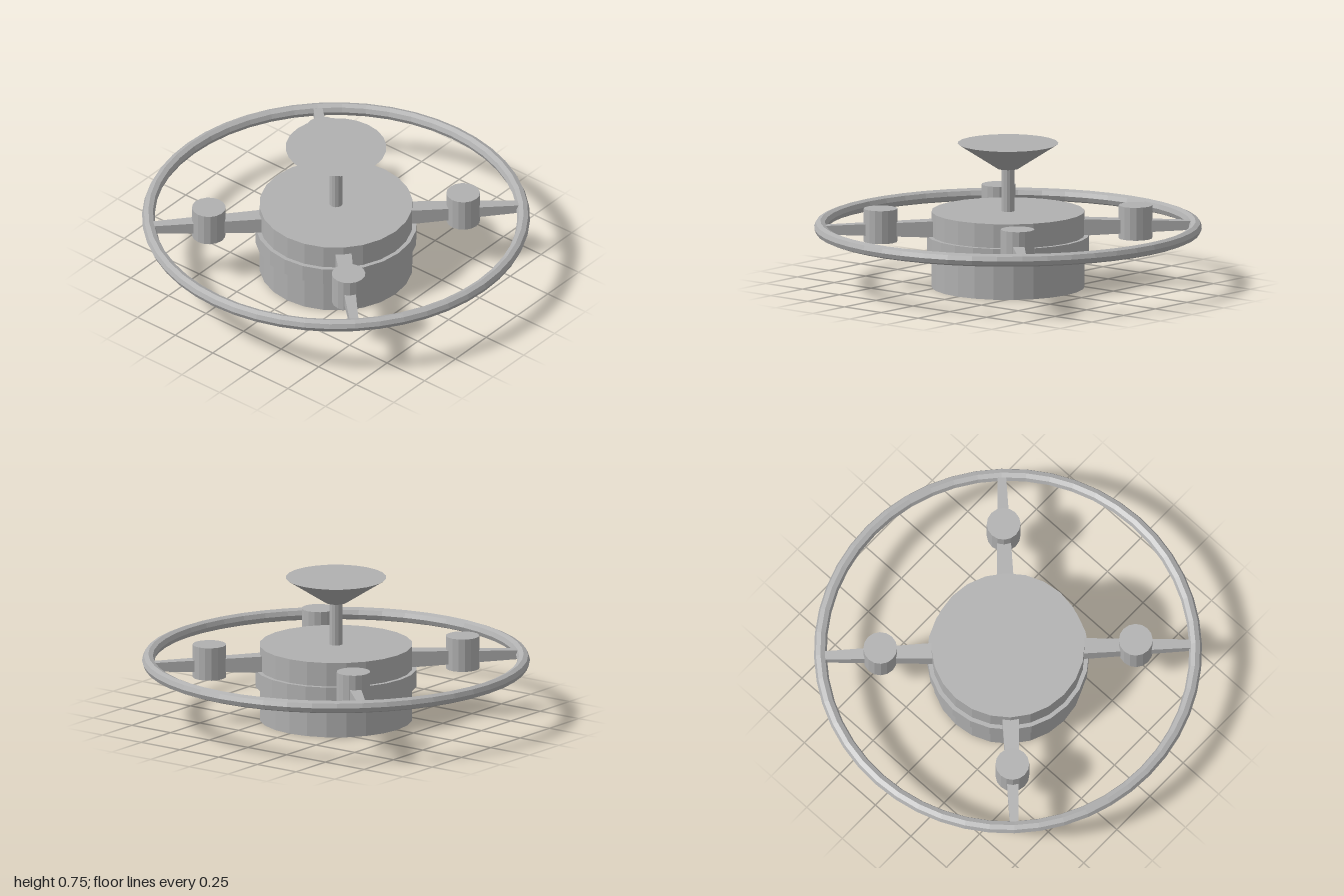
import * as THREE from 'three';

export function createModel() {
  const model = new THREE.Group();
  const grey = new THREE.MeshStandardMaterial({ color: 0xb0b0b0 });
  grey.name = 'grey';
  grey.flatShading = true;

  const add = (name, geometry, parent = model) => {
    const mesh = new THREE.Mesh(geometry, grey);
    mesh.name = name;
    parent.add(mesh);
    return mesh;
  };
  // Upright cylinder or cone between two heights
  const drum = (name, rTop, rBottom, y0, y1, sides, parent) => {
    const mesh = add(name, new THREE.CylinderGeometry(rTop, rBottom, y1 - y0, sides), parent);
    mesh.position.y = (y0 + y1) / 2;
    return mesh;
  };

  // Central hub with its raised band
  drum('hub', 0.395, 0.395, 0, 0.395, 24);
  drum('hubBand', 0.417, 0.417, 0.18, 0.27, 24);

  // Antenna mast and closed dish
  drum('mast', 0.034, 0.034, 0.395, 0.62, 12);
  drum('dish', 0.26, 0.054, 0.617, 0.75, 24);

  // Outer ring
  const ring = add('outerRing', new THREE.TorusGeometry(0.966, 0.033, 8, 48));
  ring.rotation.x = Math.PI / 2;
  ring.position.y = 0.31;

  // Four diagonal spokes: a tapered square arm carrying a pod
  for (let i = 0; i < 4; i++) {
    const spoke = new THREE.Group();
    spoke.name = 'spoke';
    spoke.rotation.y = Math.PI / 4 + i * Math.PI / 2;
    model.add(spoke);

    const arm = new THREE.CylinderGeometry(0.032, 0.064, 0.65, 4);
    arm.rotateY(Math.PI / 4);
    arm.rotateZ(-Math.PI / 2);
    add('arm', arm, spoke).position.set(0.625, 0.31, 0);

    drum('pod', 0.087, 0.087, 0.245, 0.417, 16, spoke).position.x = 0.658;
  }
  return model;
}
